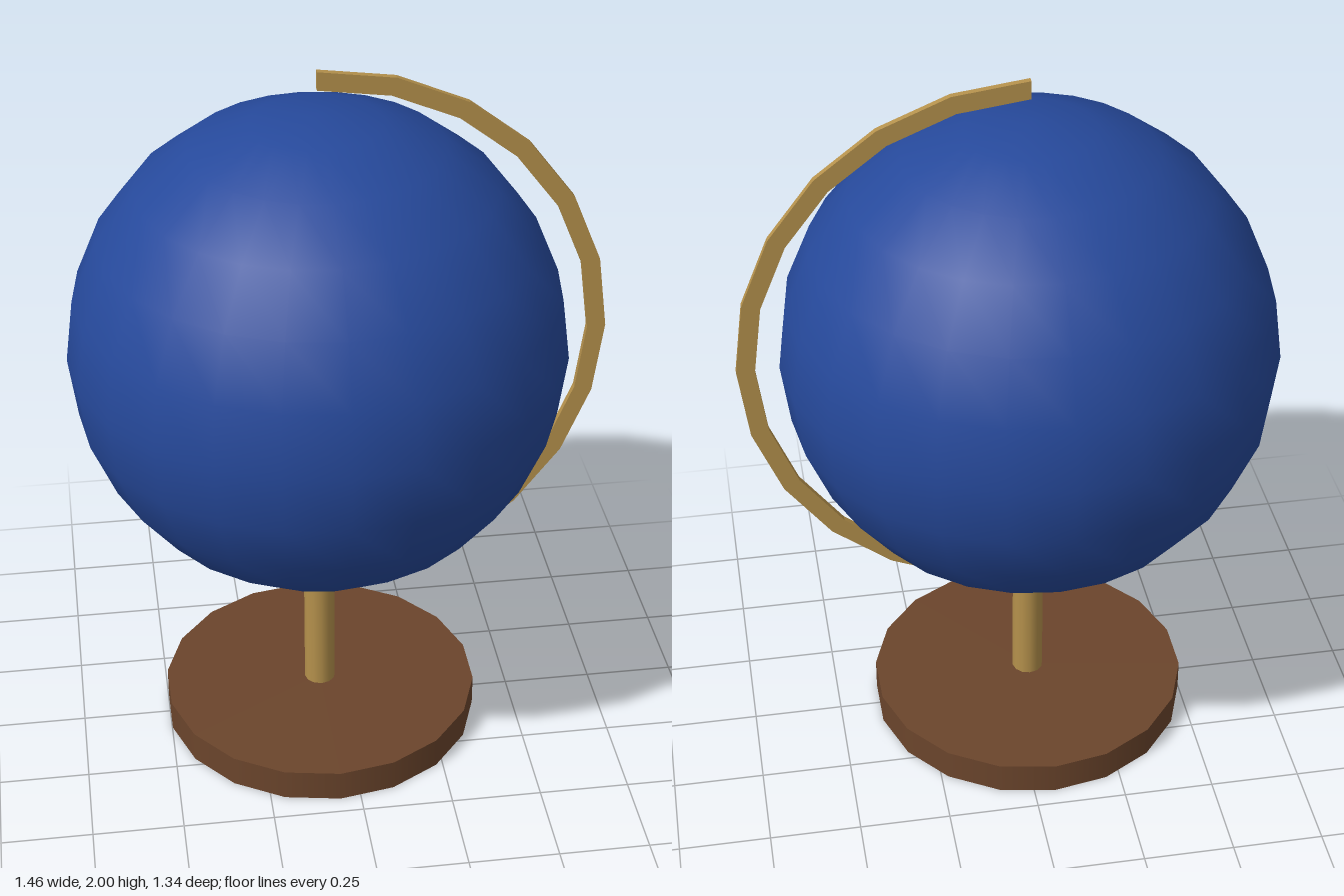
import * as THREE from 'three';

const AXIS_X = -0.0575; // shared vertical axis of base, post and ball
const CENTER_Y = 1.215; // centre of ball and arm

function material(name, color, options = {}) {
  const m = new THREE.MeshStandardMaterial({ color, ...options });
  m.name = name;
  return m;
}

export function createModel() {
  const blue = material('blue', 0x26499b);
  const brass = material('brass', 0xb5914c);
  const brassFlat = brass;
  const wood = material('wood', 0x6b452c);

  const group = new THREE.Group();
  group.name = 'globe';

  function add(name, geometry, mat, y) {
    const mesh = new THREE.Mesh(geometry, mat);
    mesh.name = name;
    mesh.position.set(AXIS_X, y, 0);
    group.add(mesh);
  }

  // Round foot and post
  add('base', new THREE.CylinderGeometry(0.448, 0.448, 0.09, 18), wood, 0.045);
  add('post', new THREE.CylinderGeometry(0.044, 0.044, 0.36, 12), brass, 0.27);

  // Ball
  add('ball', new THREE.SphereGeometry(0.67, 24, 12), blue, CENTER_Y);

  // Flat half-ring arm, from the top pole round to the post
  const steps = 12, outer = 0.785, inner = 0.735, depth = 0.018;
  const points = [];
  const arc = (r, i) => {
    const a = -Math.PI / 2 + (i / steps) * Math.PI;
    points.push(new THREE.Vector2(Math.cos(a) * r, Math.sin(a) * r));
  };
  for (let i = 0; i <= steps; i++) arc(outer, i);
  for (let i = steps; i >= 0; i--) arc(inner, i);
  const arm = new THREE.ExtrudeGeometry(new THREE.Shape(points), { depth, bevelEnabled: false });
  arm.translate(0, 0, -depth / 2);
  add('arm', arm, brassFlat, CENTER_Y);

  return group;
}
